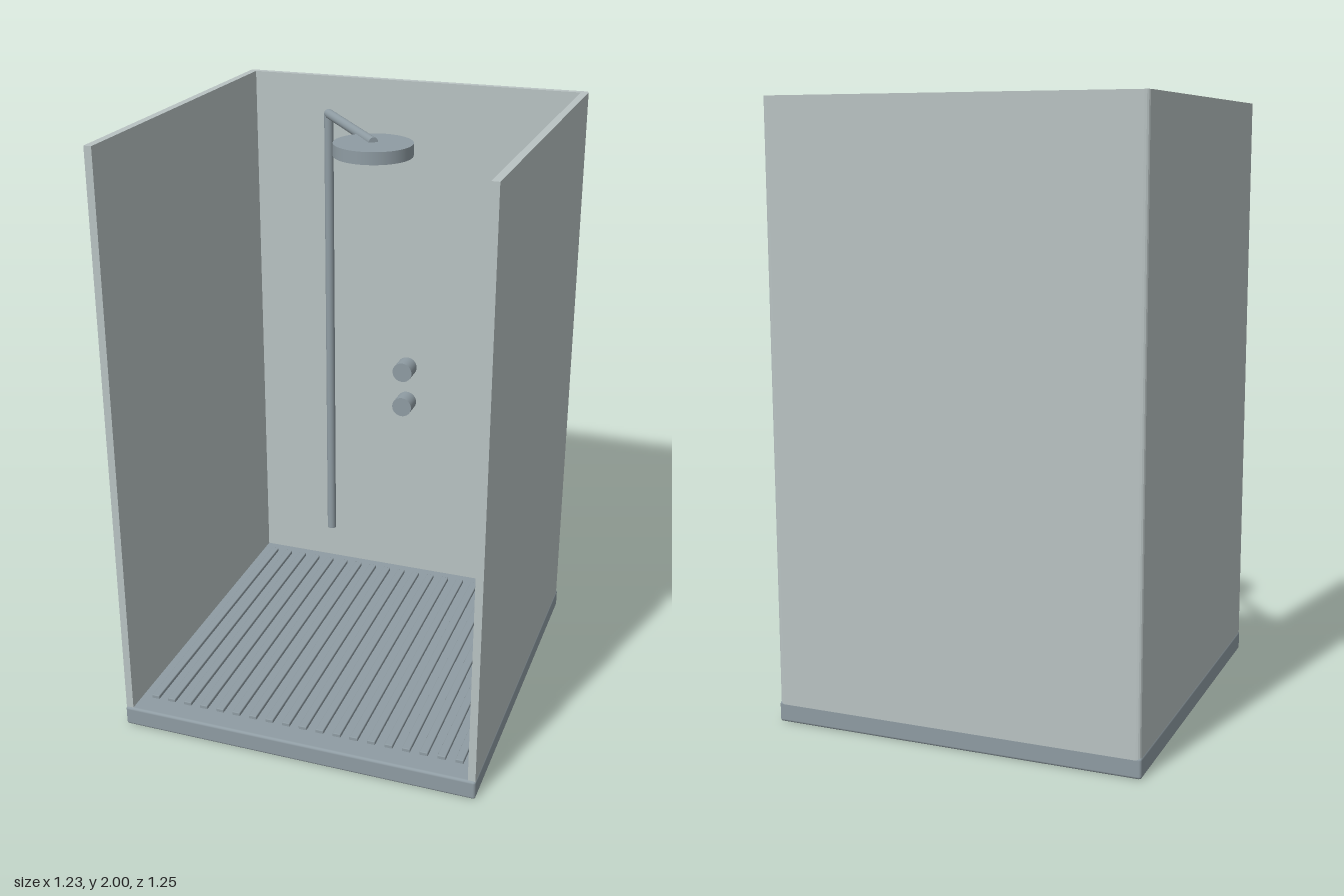
import * as THREE from 'three';
import { RoundedBoxGeometry } from 'three/addons/geometries/RoundedBoxGeometry.js';

export function createModel() {
  const root = new THREE.Group();
  root.name = 'showerCubicle';
  const wallMat = new THREE.MeshStandardMaterial({ color: 0xb9c3c3 });
  wallMat.name = 'pale grey wall';
  const metalMat = new THREE.MeshStandardMaterial({ color: 0x8f9ca3 });
  metalMat.name = 'blue grey tray and fittings';

  const add = (name, geometry, material, x = 0, y = 0, z = 0) => {
    const mesh = new THREE.Mesh(geometry, material);
    mesh.name = name;
    mesh.position.set(x, y, z);
    root.add(mesh);
    return mesh;
  };

  // Cylinder running between two points
  const rod = (name, a, b, r) => {
    const dir = b.clone().sub(a);
    const mesh = add(name, new THREE.CylinderGeometry(r, r, dir.length(), 24), metalMat);
    mesh.position.copy(a).lerp(b, 0.5);
    mesh.quaternion.setFromUnitVectors(new THREE.Vector3(0, 1, 0), dir.normalize());
    return mesh;
  };

  // Floor tray with softened edges
  add('tray', new RoundedBoxGeometry(1.23, 0.068, 1.246, 2, 0.009), metalMat, 0, 0.034, 0);

  // Raised floor ribs, front to back
  const ribGeo = new RoundedBoxGeometry(0.028, 0.024, 1.094, 1, 0.003);
  for (let i = -9; i <= 9; i++) add('floorRib', ribGeo, metalMat, i * 0.06, 0.068, -0.003);

  // U-shaped wall in plan (shape y is -z), open at the front, back corners rounded
  const X = 0.613, I = 0.588, B = 0.623, F = -0.617, r = 0.016;
  const plan = new THREE.Shape();
  plan.moveTo(-X, F);
  plan.lineTo(-I, F);
  plan.lineTo(-I, 0.598);
  plan.lineTo(I, 0.598);
  plan.lineTo(I, F);
  plan.lineTo(X, F);
  plan.lineTo(X, B - r);
  plan.quadraticCurveTo(X, B, X - r, B);
  plan.lineTo(-X + r, B);
  plan.quadraticCurveTo(-X, B, -X, B - r);
  plan.closePath();
  const wallGeo = new THREE.ExtrudeGeometry(plan, { depth: 1.94, bevelEnabled: false, curveSegments: 4 });
  wallGeo.rotateX(-Math.PI / 2);
  add('walls', wallGeo, wallMat, 0, 0.06, 0);

  // Riser pipe, its elbow, and the diagonal arm out to the head
  const foot = new THREE.Vector3(-0.3, 0.212, -0.568);
  const elbow = new THREE.Vector3(-0.3, 1.873, -0.568);
  const armEnd = new THREE.Vector3(0, 1.881, -0.172);
  rod('riserPipe', foot, elbow, 0.0165);
  add('pipeElbow', new THREE.SphereGeometry(0.0165, 20, 14), metalMat, elbow.x, elbow.y, elbow.z);
  rod('showerArm', elbow, armEnd, 0.0165);

  // Round shower head
  add('showerHead', new THREE.CylinderGeometry(0.132, 0.132, 0.042, 64), metalMat, 0, 1.86, -0.17);

  // Two control knobs facing forward
  const knobGeo = new THREE.CylinderGeometry(0.037, 0.037, 0.066, 32);
  knobGeo.rotateX(Math.PI / 2);
  for (const y of [0.797, 0.937]) add('controlKnob', knobGeo, metalMat, 0, y, -0.554);

  // Upright grab rail
  rod('grabRail', new THREE.Vector3(0.375, 0.76, -0.545), new THREE.Vector3(0.375, 1.213, -0.545), 0.0175);

  return root;
}
